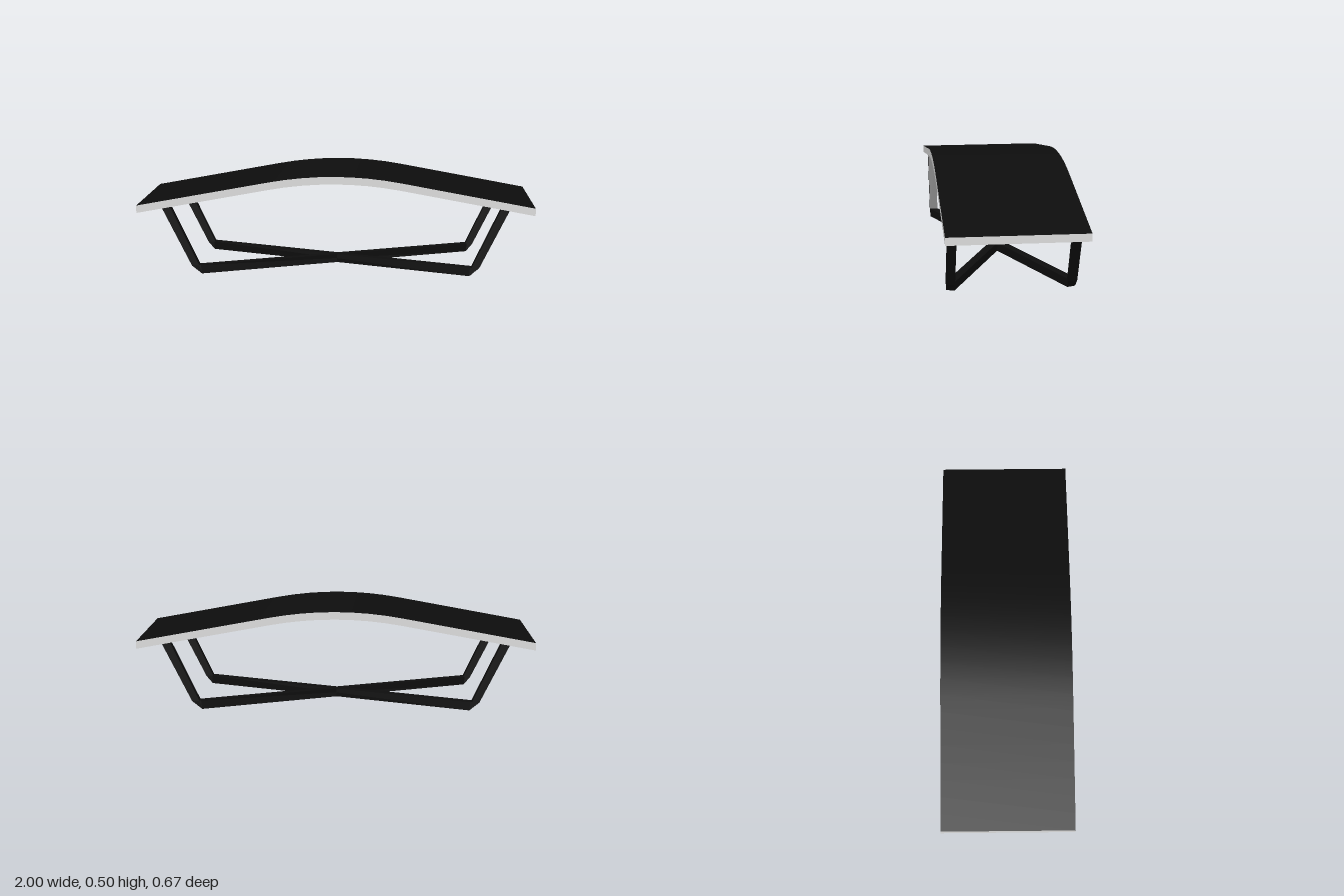
import * as THREE from 'three';

const black = new THREE.MeshStandardMaterial({ color: 0x0d0d0d });
black.name = 'matt black';
const grey = new THREE.MeshStandardMaterial({ color: 0xdadada });
grey.name = 'light grey edge';

// Height of the top surface: arched middle, straight slopes outside
function topHeight(x) {
  const a = Math.abs(x), bend = 1 / 3, slope = 0.183;
  return a < bend ? 0.505 - (slope * a * a) / (2 * bend)
    : 0.505 - (slope * bend) / 2 - slope * (a - bend);
}

// Slab bent along x; faces black above and below, grey around the rim
function makeTop() {
  const thick = 0.038;
  const geo = new THREE.BoxGeometry(2, thick, 0.667, 24, 1, 1);
  const p = geo.attributes.position;
  for (let i = 0; i < p.count; i++) {
    p.setY(i, p.getY(i) - thick / 2 + topHeight(p.getX(i)));
  }
  geo.computeVertexNormals();
  const mesh = new THREE.Mesh(geo, [grey, grey, black, black, grey, grey]);
  mesh.name = 'curvedTop';
  return mesh;
}

// Square bar: slanted leg, diagonal floor rail, slanted leg
function makeFrame(k) {
  const half = 0.0215, zLeg = 0.2925;
  const angle = Math.atan2(2 * zLeg, 1.38);
  const alongZ = [0, -half];
  const acrossRail = [-k * Math.sin(angle) * half, -Math.cos(angle) * half];
  // Half path: outer x, y, inner x, y, sideways vector
  const left = [
    [-0.88, 0.35, -0.835, 0.35, alongZ],
    [-0.727, 0.041, -0.69, 0.043, alongZ],
    [-0.685, 0, -0.69, 0.043, acrossRail],
  ];
  const right = left.map(([a, b, c, d, s]) => [-a, b, -c, d, s]).reverse();
  const pos = [], index = [];
  [...left, ...right].forEach(([ox, oy, ix, iy, s], n) => {
    const z = n < 3 ? k * zLeg : -k * zLeg;
    pos.push(ox - s[0], oy, z - s[1], ox + s[0], oy, z + s[1],
      ix + s[0], iy, z + s[1], ix - s[0], iy, z - s[1]);
    if (n === 0) return;
    for (let i = 0; i < 4; i++) {
      const a = (n - 1) * 4 + i, b = (n - 1) * 4 + ((i + 1) % 4);
      index.push(a, b, b + 4, a, b + 4, a + 4);
    }
  });
  index.push(0, 2, 1, 0, 3, 2, 20, 21, 22, 20, 22, 23);
  const indexed = new THREE.BufferGeometry();
  indexed.setAttribute('position', new THREE.Float32BufferAttribute(pos, 3));
  indexed.setIndex(index);
  const geo = indexed.toNonIndexed();
  geo.computeVertexNormals();
  const mesh = new THREE.Mesh(geo, black);
  mesh.name = k > 0 ? 'crossFrameA' : 'crossFrameB';
  return mesh;
}

export function createModel() {
  const group = new THREE.Group();
  group.name = 'curvedTable';
  group.add(makeTop(), makeFrame(1), makeFrame(-1));
  return group;
}
